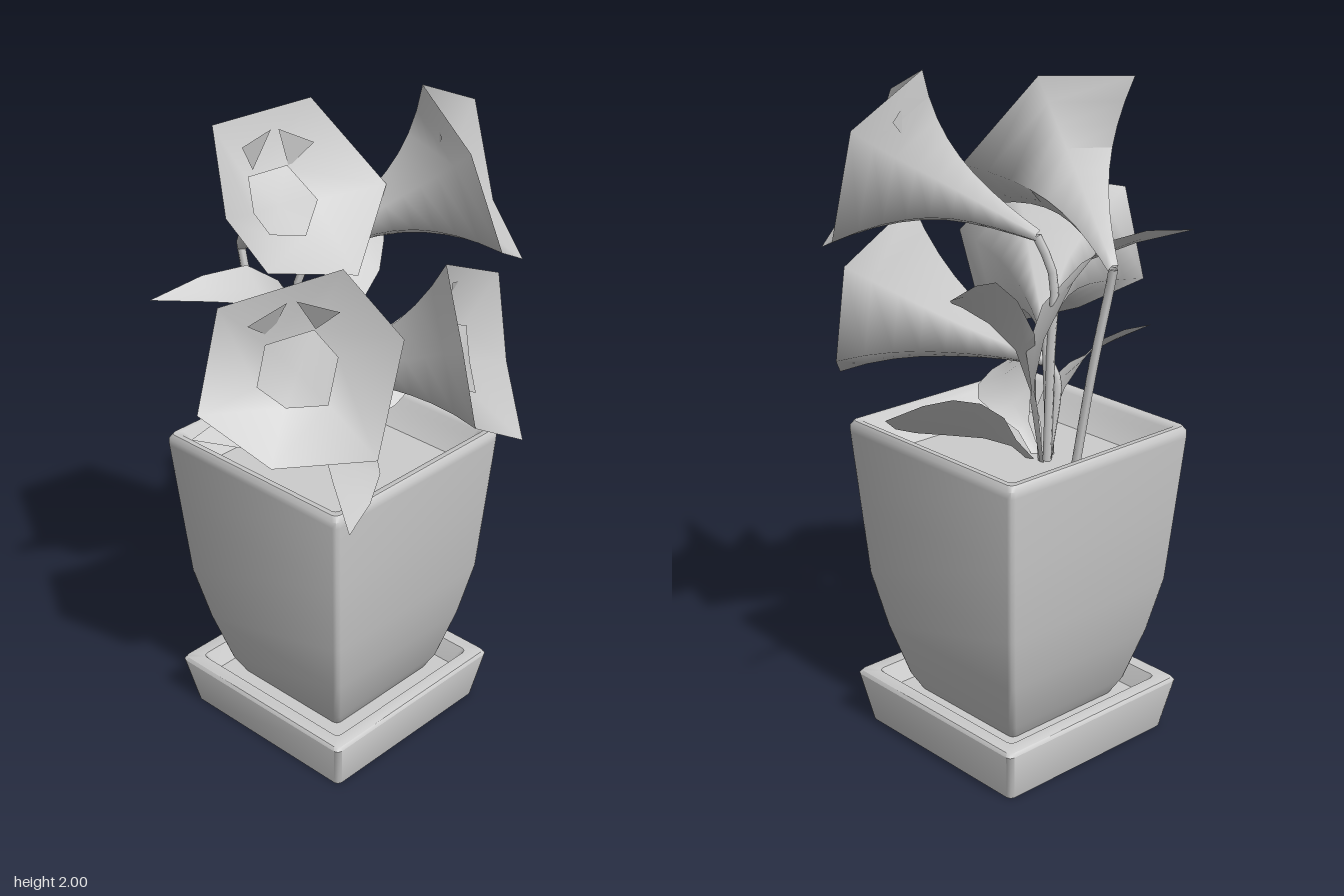
import * as THREE from 'three';
import { toCreasedNormals } from 'three/addons/utils/BufferGeometryUtils.js';

const grey = new THREE.MeshStandardMaterial({ color: 0xcccccc, side: THREE.DoubleSide });
grey.name = 'plain grey';
const V = (p) => new THREE.Vector3(...p);

function mesh(name, geometry) {
  const m = new THREE.Mesh(geometry, grey);
  m.name = name;
  return m;
}

// Skin a list of equal-length rings of Vector3
function loft(rings, closed = true, crease = 0.9) {
  const n = rings[0].length, index = [];
  for (let i = 0; i + 1 < rings.length; i++) {
    for (let j = 0; j < (closed ? n : n - 1); j++) {
      const a = i * n + j, b = i * n + (j + 1) % n;
      index.push(a, b, b + n, a, b + n, a + n);
    }
  }
  const g = new THREE.BufferGeometry().setFromPoints(rings.flat());
  g.setIndex(index);
  return toCreasedNormals(g, crease);
}

// Square ring with small rounded corners
function squareRing([half, y]) {
  const r = Math.min(0.016, half * 0.15), ring = [];
  for (let c = 0; c < 4; c++) {
    const mid = Math.PI / 4 + c * Math.PI / 2;
    for (const d of [-1, 0, 1]) {
      const t = mid + d * Math.PI / 4;
      ring.push(new THREE.Vector3(
        Math.sign(Math.cos(mid)) * (half - r) + r * Math.cos(t), y,
        -Math.sign(Math.sin(mid)) * (half - r) - r * Math.sin(t)));
    }
  }
  return ring;
}

function squarePart(name, profile) {
  const m = mesh(name, loft(profile.map(squareRing)));
  m.position.set(-0.006, 0, -0.112);
  return m;
}

// Flower: trumpet, six-sided face, throat plate, two folds and a stem
function flower({ rim, path, fold, stem }) {
  const g = new THREE.Group();
  g.name = 'flower';
  const pts = rim.map(V);
  const centre = new THREE.Vector3();
  pts.forEach((p) => centre.addScaledVector(p, 1 / pts.length));
  const normal = new THREE.Vector3();
  pts.forEach((p, i) => normal.add(new THREE.Vector3().crossVectors(
    p.clone().sub(centre), pts[(i + 1) % pts.length].clone().sub(centre))));
  normal.normalize();
  const scaled = (s, at) => pts.map((p) => p.clone().sub(centre).multiplyScalar(s).add(at));
  const inset = (depth) => centre.clone().addScaledVector(normal, -depth);

  // Trumpet flaring towards the rim
  const curve = new THREE.CatmullRomCurve3([...path.map(V), centre]);
  const steps = 9, rings = [];
  for (let i = 0; i <= steps; i++) {
    const t = i / steps;
    rings.push(scaled(0.06 + 0.32 * t + 0.62 * t ** 2.8, curve.getPoint(t)));
  }
  g.add(mesh('trumpet', loft(rings, true, 1.2)));

  // Dished face and the plate in the throat
  g.add(mesh('petalFace', loft([scaled(0.001, inset(0.1)), scaled(0.4, inset(0.085)), pts]
    .map((r) => r.slice().reverse()), true, 1)));
  g.add(mesh('throatPlate', loft([scaled(0.4, inset(0.075)), scaled(0.001, inset(0.075))])));

  // Two folds hanging below the upper petal
  const up = V(fold).sub(centre);
  const side = new THREE.Vector3().crossVectors(up, normal);
  const at = (u, s, h) => centre.clone().addScaledVector(up, u).addScaledVector(side, s).addScaledVector(normal, h);
  for (const s of [-1, 1]) {
    const f = new THREE.BufferGeometry().setFromPoints(
      [at(0.78, s * 0.05, -0.01), at(0.42, s * 0.24, -0.075), at(0.6, s * 0.48, -0.012)]);
    f.setIndex(s > 0 ? [0, 1, 2] : [0, 2, 1]);
    f.computeVertexNormals();
    g.add(mesh('petalFold', f));
  }

  const stemCurve = new THREE.CatmullRomCurve3([...stem, path[0]].map(V));
  g.add(mesh('stem', new THREE.TubeGeometry(stemCurve, 12, 0.013, 6)));
  return g;
}

// Arched leaf on a narrow stalk, slightly folded along its middle
function leaf(points, width, tilt) {
  const curve = new THREE.CatmullRomCurve3(points.map(V));
  const rings = [0.12, 0.22, 0.68, 1, 0.95, 0.6, 0].map((w, i) => {
    const t = i / 6, p = curve.getPoint(t), d = curve.getTangent(t);
    const side = new THREE.Vector3(-d.z, 0, d.x).normalize();
    side.y = tilt;
    side.multiplyScalar(w * width);
    const keel = p.clone().add(new THREE.Vector3(0, -0.2 * w * width, 0));
    return [p.clone().add(side), keel, p.clone().sub(side)];
  });
  return mesh('leaf', loft(rings, false, 1));
}

export function createModel() {
  const model = new THREE.Group();
  model.name = 'pottedFlowers';

  // Saucer with a stepped hollow underside
  model.add(squarePart('saucer', [
    [0.001, 0.1], [0.14, 0.1], [0.15, 0.07], [0.225, 0.07], [0.235, 0.045], [0.312, 0],
    [0.342, 0.155], [0.335, 0.165], [0.295, 0.165], [0.265, 0.11], [0.001, 0.11]]));

  // Pot with a rounded rim sloping in to the soil
  model.add(squarePart('pot', [
    [0.2, 0.1], [0.232, 0.16], [0.277, 0.32], [0.312, 0.49], [0.33, 0.72], [0.347, 0.94],
    [0.347, 0.96], [0.338, 0.975], [0.322, 0.975], [0.31, 0.962], [0.3, 0.94], [0.247, 0.885]]));
  model.add(squarePart('soil', [[0.25, 0.887], [0.001, 0.887]]));

  // Rims run anticlockwise as seen from the front
  const flowers = [
    { // lower front
      rim: [[0.1, 1.58, 0.22], [-0.066, 1.45, 0.425], [-0.045, 1.22, 0.46],
        [0.23, 1.05, 0.41], [0.395, 1.17, 0.21], [0.38, 1.45, 0.18]],
      path: [[-0.05, 1.17, -0.19], [0.05, 1.23, 0.04]],
      fold: [0.1, 1.58, 0.22],
      stem: [[-0.03, 0.88, -0.21], [-0.06, 1.12, -0.215]],
    },
    { // upper left
      rim: [[0.24, 2.0, 0.0], [0.13, 1.9, 0.27], [0.19, 1.62, 0.34],
        [0.41, 1.5, 0.24], [0.54, 1.58, 0.02], [0.515, 1.88, -0.04]],
      path: [[-0.01, 1.54, -0.18], [0.17, 1.66, -0.02]],
      fold: [0.24, 2.0, 0.0],
      stem: [[-0.02, 0.88, -0.22], [-0.03, 1.2, -0.22], [-0.04, 1.43, -0.215]],
    },
    { // upper right
      rim: [[0, 1.98, -0.19], [-0.29, 1.957, -0.27], [-0.445, 1.8, -0.06],
        [-0.35, 1.63, -0.01], [-0.1, 1.57, 0.08], [0.13, 1.735, -0.03]],
      path: [[-0.055, 1.49, -0.43], [-0.1, 1.65, -0.27]],
      fold: [-0.12, 1.97, -0.22],
      stem: [[-0.015, 0.88, -0.335], [-0.035, 1.2, -0.38], [-0.055, 1.42, -0.415]],
    },
    { // lower right
      rim: [[-0.21, 1.64, 0.13], [-0.505, 1.575, -0.04], [-0.58, 1.28, -0.055],
        [-0.5, 1.16, 0.14], [-0.225, 1.12, 0.27], [-0.123, 1.45, 0.27]],
      path: [[-0.03, 1.26, -0.2], [-0.15, 1.35, -0.06]],
      fold: [-0.33, 1.62, 0.05],
      stem: [[-0.06, 0.88, -0.19], [-0.03, 1.1, -0.21]],
    },
  ];
  flowers.forEach((f) => model.add(flower(f)));

  // Leaf paths, half widths and sideways tilts
  const leaves = [
    [[[0, 0.88, -0.21], [0.05, 1.25, -0.2], [0.24, 1.43, -0.22], [0.44, 1.48, -0.335]], 0.055, -0.8],
    [[[0, 0.88, -0.18], [0.12, 1.0, -0.15], [0.34, 1.09, -0.15], [0.575, 1.16, -0.23]], 0.07, -0.95],
    [[[0, 0.88, -0.22], [0.05, 1.25, -0.24], [-0.18, 1.47, -0.23], [-0.495, 1.5, -0.325]], 0.055, 0.8],
    [[[-0.05, 0.88, -0.18], [-0.12, 1.03, -0.13], [-0.3, 1.12, -0.09], [-0.54, 1.16, -0.13]], 0.065, 0.8],
    [[[-0.03, 0.88, -0.17], [-0.06, 1.01, -0.03], [-0.17, 1.04, 0.12], [-0.39, 0.98, 0.32]], 0.085, 0.6],
  ];
  leaves.forEach((args) => model.add(leaf(...args)));

  return model;
}
